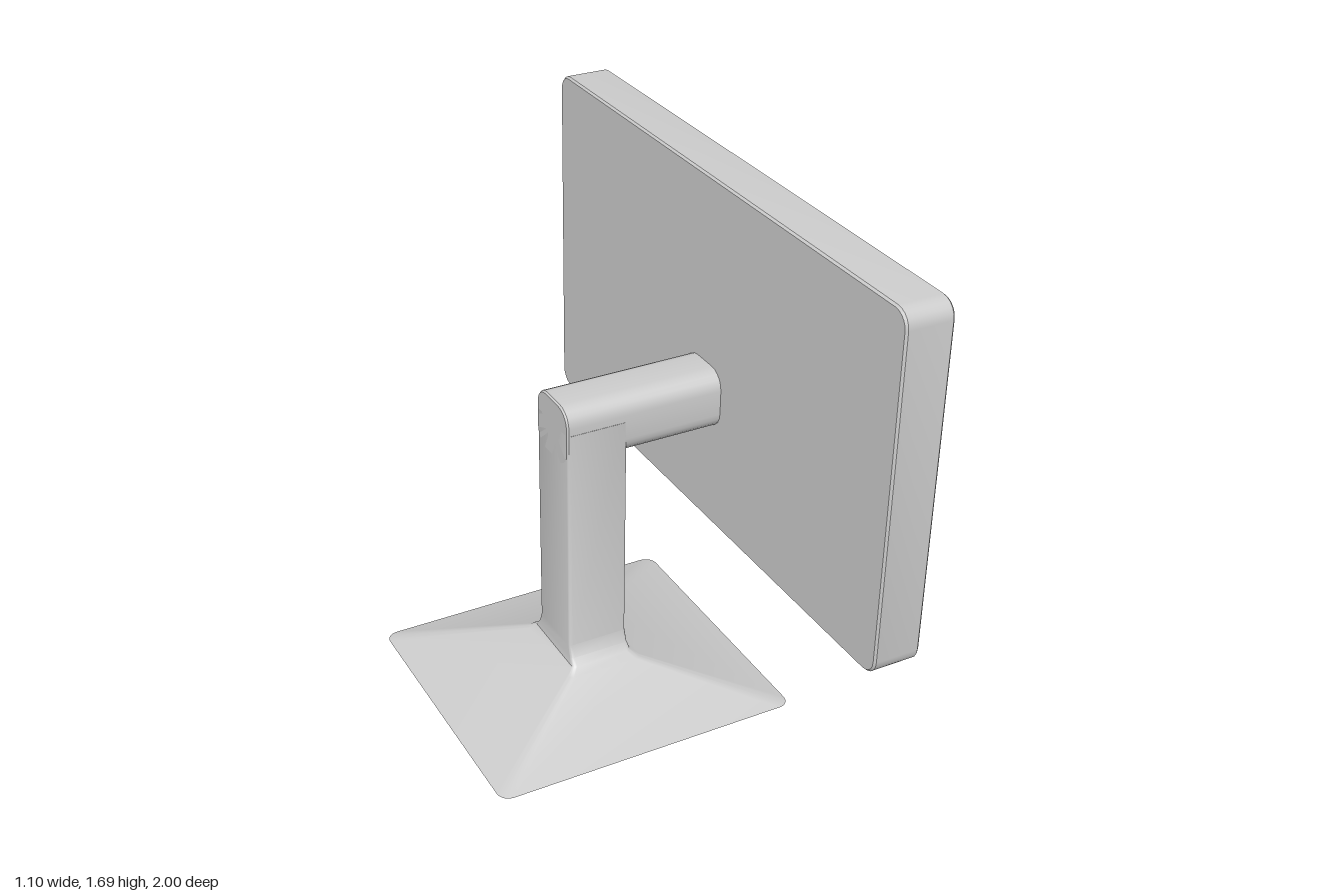
import * as THREE from 'three';
import { toCreasedNormals } from 'three/addons/utils/BufferGeometryUtils.js';

const ARC = 5; // segments per rounded corner

// Outline of a rounded rectangle in the xz plane, half sizes hx and hz
function outline(hx, hz, r) {
  const pts = [];
  for (let q = 0; q < 4; q++) {
    const sx = q === 0 || q === 3 ? 1 : -1;
    const sz = q < 2 ? 1 : -1;
    for (let i = 0; i <= ARC; i++) {
      const a = (q + i / ARC) * Math.PI / 2;
      pts.push([sx * (hx - r) + r * Math.cos(a), sz * (hz - r) + r * Math.sin(a)]);
    }
  }
  return pts;
}

// Closed solid through rounded rectangles, each [height, hx, hz, radius]
function loft(rings) {
  const n = 4 * (ARC + 1);
  const pos = [], idx = [];
  for (const [y, hx, hz, r] of rings) {
    for (const [x, z] of outline(hx, hz, r)) pos.push(x, y, z);
  }
  const last = (rings.length - 1) * n;
  const bottom = pos.length / 3, top = bottom + 1;
  pos.push(0, rings[0][0], 0, 0, rings[rings.length - 1][0], 0);
  for (let i = 0; i < n; i++) {
    const j = (i + 1) % n;
    for (let k = 0; k < last; k += n) {
      idx.push(k + i, k + n + i, k + j, k + j, k + n + i, k + n + j);
    }
    idx.push(bottom, i, j, top, last + j, last + i);
  }
  const geo = new THREE.BufferGeometry();
  geo.setAttribute('position', new THREE.Float32BufferAttribute(pos, 3));
  geo.setIndex(idx);
  return toCreasedNormals(geo, 0.5);
}

export function createModel() {
  const group = new THREE.Group();
  const material = new THREE.MeshStandardMaterial({ color: 0xcccccc });
  const add = (name, geo, x, y) => {
    const mesh = new THREE.Mesh(geo, material);
    mesh.name = name;
    mesh.position.set(x, y, 0);
    group.add(mesh);
    return mesh;
  };

  // Pyramid foot flaring into the upright column
  add('baseAndColumn', loft([
    [0, 0.5, 0.46, 0.04],
    [0.012, 0.515, 0.473, 0.04],
    [0.128, 0.13, 0.165, 0.02],
    [0.148, 0.106, 0.14, 0.015],
    [0.17, 0.1025, 0.12, 0.012],
    [0.21, 0.1025, 0.105, 0.012],
    [0.99, 0.1025, 0.105, 0.012],
  ]), -0.0375, 0);

  // Rounded arm reaching from the column to the back of the screen
  const arm = loft([
    [-0.14, 0.096, 0.099, 0.054],
    [-0.134, 0.101, 0.104, 0.06],
    [0.4, 0.101, 0.104, 0.06],
  ]);
  add('arm', arm.rotateZ(-Math.PI / 2), 0, 0.971);

  // Screen housing: back, outer wall, bezel, recess wall and display face
  const screen = loft([
    [0.393, 0.584, 0.994, 0.05],
    [0.4, 0.59, 1, 0.055],
    [0.543, 0.59, 1, 0.055],
    [0.55, 0.584, 0.994, 0.05],
    [0.55, 0.507, 0.852, 0.06],
    [0.546, 0.503, 0.848, 0.06],
    [0.42, 0.5, 0.845, 0.06],
  ]);
  add('screen', screen.rotateZ(-Math.PI / 2), 0, 1.1);

  return group;
}
